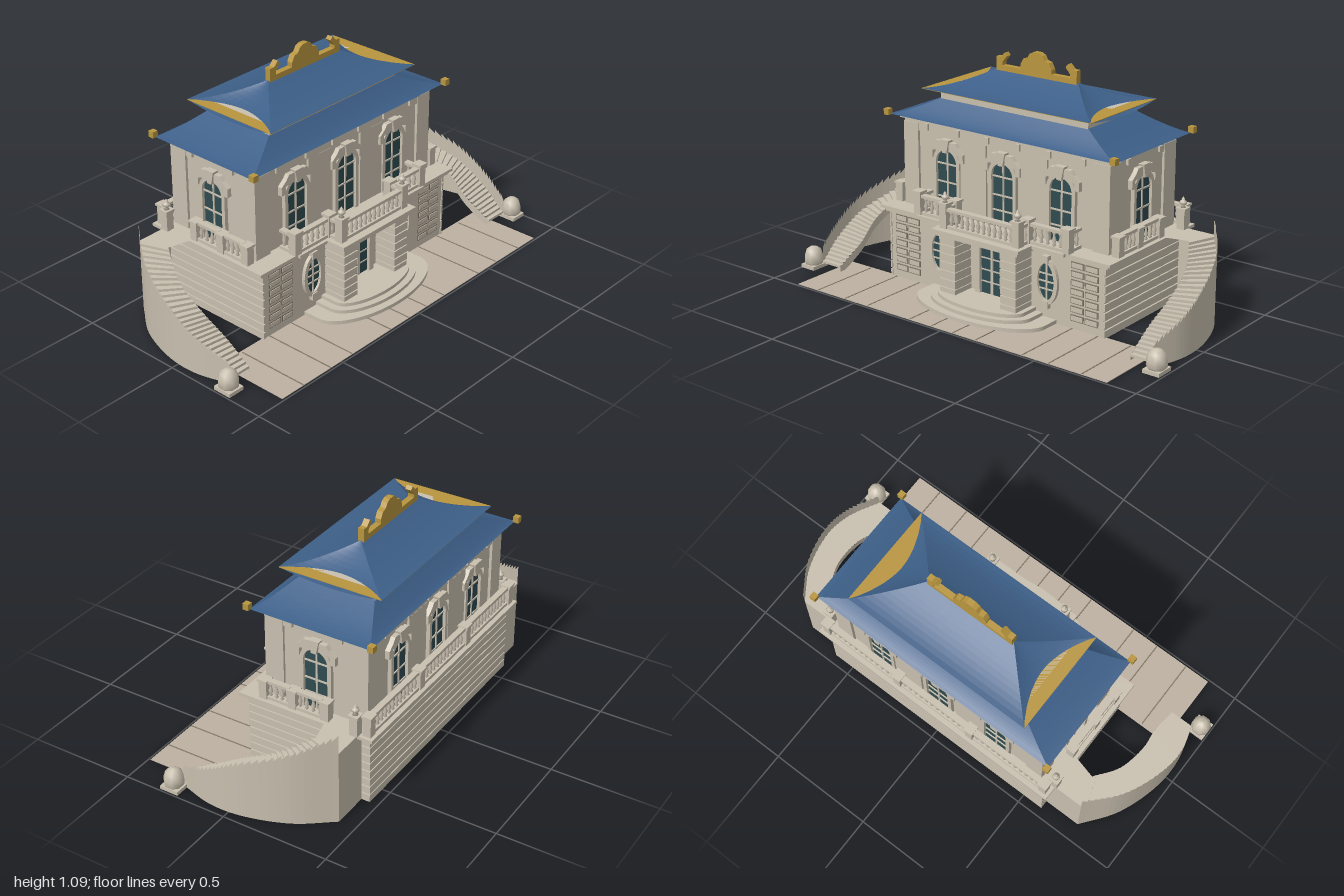
import * as THREE from 'three';

const mat = (name, color, side = THREE.FrontSide) => {
  const m = new THREE.MeshStandardMaterial({ color, side });
  m.name = name;
  return m;
};
const stone = mat('stone', 0xc8bfae);
const stoneThin = mat('stone thin', 0xc8bfae, THREE.DoubleSide);
const paving = mat('paving', 0xbcb0a0);
const joint = mat('joint', 0x84796a);
const slate = mat('slate', 0x3d5f88, THREE.DoubleSide);
const gold = mat('gold', 0xb8953f);
const glass = mat('glass', 0x2f4a50, THREE.DoubleSide);

const CZ = -0.178; // middle of the upper storey in z

function add(parent, name, geo, material, x = 0, y = 0, z = 0) {
  const m = new THREE.Mesh(geo, material);
  m.name = name;
  m.position.set(x, y, z);
  parent.add(m);
  return m;
}
// Box given by its limits
const box = (p, name, material, x0, x1, y0, y1, z0, z1) =>
  add(p, name, new THREE.BoxGeometry(x1 - x0, y1 - y0, z1 - z0), material,
    (x0 + x1) / 2, (y0 + y1) / 2, (z0 + z1) / 2);

const extrude = (shape, depth) =>
  new THREE.ExtrudeGeometry(shape, { depth, bevelEnabled: false, curveSegments: 14 });
const lathe = (pts, n) => new THREE.LatheGeometry(pts.map(p => new THREE.Vector2(...p)), n);
const polygon = pts => new THREE.Shape(pts.map(p => new THREE.Vector2(...p)));

function arch(w, spring, C = THREE.Shape) {
  const s = new C();
  s.moveTo(-w, 0);
  s.lineTo(w, 0);
  s.lineTo(w, spring);
  s.absarc(0, spring, w, 0, Math.PI, false);
  s.lineTo(-w, 0);
  return s;
}
function ellipse(rx, ry, C = THREE.Shape) {
  const s = new C();
  s.absellipse(0, 0, rx, ry, 0, Math.PI * 2, false, 0);
  return s;
}
// Soft-surface geometry from quads, each with four corners
function quads(list) {
  const pos = [];
  for (const [a, b, c, d] of list) pos.push(...a, ...b, ...c, ...a, ...c, ...d);
  const g = new THREE.BufferGeometry();
  g.setAttribute('position', new THREE.Float32BufferAttribute(pos, 3));
  g.computeVertexNormals();
  return g;
}

// Arched window facing +z
function archWindow(parent, x, z, turn) {
  const w = new THREE.Group();
  w.name = 'archedWindow';
  w.position.set(x, 0.345, z);
  w.rotation.y = turn;
  parent.add(w);
  add(w, 'windowGlass', extrude(arch(0.06, 0.235), 0.004), glass);
  const frame = arch(0.076, 0.235);
  frame.holes.push(arch(0.058, 0.235, THREE.Path));
  add(w, 'windowFrame', extrude(frame, 0.018), stone);
  box(w, 'mullion', stone, -0.004, 0.004, 0, 0.292, 0, 0.009);
  for (const y of [0.07, 0.14, 0.225]) box(w, 'glazingBar', stone, -0.058, 0.058, y, y + 0.007, 0, 0.009);
  for (const s of [-1, 1]) {
    const hood = polygon([[0.02, 0.305], [0.075, 0.285], [0.075, 0.25], [0.1, 0.25], [0.1, 0.29],
      [0.07, 0.315], [0.055, 0.335], [0.02, 0.335]].map(([a, b]) => [a * s, b]));
    add(w, 'hood', extrude(hood, 0.022), stone);
  }
  add(w, 'keystone', extrude(polygon([[-0.012, 0.285], [0.012, 0.285], [0.025, 0.345], [-0.025, 0.345]]), 0.03), stone);
}

const balusterGeo = lathe([[0.004, 0], [0.009, 0.006], [0.005, 0.012], [0.01, 0.028], [0.004, 0.05], [0.009, 0.06], [0.006, 0.068]], 6);
const urnGeo = lathe([[0, 0], [0.014, 0], [0.006, 0.008], [0.017, 0.02], [0.015, 0.03], [0.007, 0.034], [0.008, 0.04], [0, 0.052]], 10);

// Balustrade along a straight line
function rail(parent, x0, z0, x1, z1) {
  const g = new THREE.Group();
  g.name = 'balustrade';
  const len = Math.hypot(x1 - x0, z1 - z0), n = Math.max(1, Math.round(len / 0.031));
  g.position.set(x0, 0.345, z0);
  g.rotation.y = Math.atan2(z0 - z1, x1 - x0);
  parent.add(g);
  box(g, 'railBase', stone, 0, len, 0, 0.014, -0.013, 0.013);
  box(g, 'railTop', stone, 0, len, 0.08, 0.093, -0.014, 0.014);
  for (let i = 0; i < n; i++) add(g, 'baluster', balusterGeo, stone, (i + 0.5) * len / n, 0.013, 0);
}
function post(parent, x, z, urn, h = 0.1) {
  box(parent, 'post', stone, x - 0.019, x + 0.019, 0.345, 0.345 + h, z - 0.019, z + 0.019);
  box(parent, 'postCap', stone, x - 0.024, x + 0.024, 0.337 + h, 0.347 + h, z - 0.024, z + 0.024);
  if (urn) add(parent, 'urn', urnGeo, stone, x, 0.346 + h, z);
}

// Concave hipped roof: half sizes at top and eave; dip lowers the middle of the end eaves
function hipRoof(tx, tz, ex, ez, yTop, yEave, power, dip) {
  const N = 10, list = [];
  const pt = (side, i, j) => {
    const t = i / N, u = j / N * 2 - 1;
    const hx = tx + (ex - tx) * t, hz = tz + (ez - tz) * t;
    const end = side % 2 === 1, s = side < 2 ? 1 : -1;
    const y = yEave + (yTop - yEave) * (1 - t) ** power - (end ? dip * t ** 0.7 * (1 - u * u) : 0);
    return end ? [s * hx, y, -s * u * hz] : [s * u * hx, y, s * hz];
  };
  for (let k = 0; k < 4; k++)
    for (let i = 0; i < N; i++)
      for (let j = 0; j < N; j++)
        list.push([pt(k, i, j), pt(k, i + 1, j), pt(k, i + 1, j + 1), pt(k, i, j + 1)]);
  return quads(list);
}

// Curved outside stair on side s, with a toothed outer wall
function stair(parent, s) {
  const curve = pts => new THREE.CatmullRomCurve3(pts.map(([x, z]) => new THREE.Vector3(x * s, 0, z)));
  const outer = curve([[0.92, 0.26], [0.962, 0.1], [0.958, -0.05], [0.89, -0.26], [0.775, -0.42]]);
  const inner = curve([[0.81, 0.26], [0.805, 0.12], [0.82, 0], [0.8, -0.16], [0.735, -0.285]]);
  const N = 28, rise = 0.325 / N, steps = [], wall = [], stringer = [];
  const at = (c, i, y) => { const p = c.getPoint(i / N); return [p.x, y, p.z]; };
  for (let i = 0; i < N; i++) {
    const y0 = 0.02 + rise * i, y = y0 + rise;
    steps.push([at(inner, i, y0), at(outer, i, y0), at(outer, i, y), at(inner, i, y)],
      [at(inner, i, y), at(outer, i, y), at(outer, i + 1, y), at(inner, i + 1, y)]);
    wall.push([at(outer, i, 0), at(outer, i + 1, 0), at(outer, i + 1, y + 0.09), at(outer, i, y0 + 0.072)]);
    stringer.push([at(inner, i, Math.max(0, y0 - 0.035)), at(inner, i + 1, Math.max(0, y - 0.035)),
      at(inner, i + 1, y + 0.006), at(inner, i, y0 + 0.006)]);
  }
  // Landing that joins the terrace
  const a = at(inner, N, 0.345), b = at(outer, N, 0.345), c = [0.6 * s, 0.345, -0.42], d = [0.6 * s, 0.345, -0.25];
  steps.push([a, b, c, d]);
  wall.push([[b[0], 0, b[2]], [c[0], 0, c[2]], c, b]);
  add(parent, 'stairSteps', quads(steps), stoneThin);
  add(parent, 'stairOuterWall', quads(wall), stoneThin);
  add(parent, 'stairStringer', quads(stringer), stoneThin);
  // Domed newel at the foot
  const newel = lathe([[0, 0], [0.036, 0], [0.045, 0.012], [0.045, 0.04], [0.036, 0.07], [0.018, 0.084], [0, 0.088]], 8);
  newel.rotateY(Math.PI / 8);
  add(parent, 'newel', newel, stone, 0.954 * s, 0.017, 0.285);
  box(parent, 'newelBase', stone, 0.954 * s - 0.04, 0.954 * s + 0.04, 0.003, 0.02, 0.24, 0.33);
}

export function createModel() {
  const root = new THREE.Group();
  root.name = 'pavilion';

  // Paved forecourt with joints, and rounded steps
  box(root, 'forecourt', paving, -0.855, 0.855, 0, 0.003, 0.13, 0.49);
  for (const x of [0.06, 0.183, 0.43, 0.565, 0.73])
    for (const s of [-1, 1]) box(root, 'pavingJoint', joint, x * s - 0.003, x * s + 0.003, 0.002, 0.0045, 0.14, 0.488);
  [[0.345, 0.165], [0.27, 0.13], [0.235, 0.1]].forEach(([rx, rz], i) => {
    const g = new THREE.CylinderGeometry(1, 1, 0.017, 32, 1, false, -Math.PI / 2, Math.PI);
    g.scale(rx, 1, rz);
    add(root, 'roundStep', g, stone, 0, 0.0115 + i * 0.016, 0.22);
    box(root, 'stepBack', stone, -rx, rx, 0.003, 0.02 + i * 0.016, 0.13, 0.22);
  });

  // Hollow ground floor with banded masonry
  const ground = new THREE.Group();
  ground.name = 'groundFloor';
  root.add(ground);
  box(ground, 'frontWall', stone, -0.59, 0.59, 0, 0.33, 0.11, 0.138);
  box(ground, 'backWall', joint, -0.59, 0.59, 0, 0.33, -0.452, -0.42);
  for (const s of [-1, 1]) box(ground, 'sideWall', joint, s * 0.577 - 0.015, s * 0.577 + 0.015, 0, 0.33, -0.45, 0.135);
  for (let i = 0; i < 8; i++) {
    const y0 = i * 0.04, y1 = y0 + 0.034;
    box(ground, 'backBand', stone, -0.6, 0.6, y0, y1, -0.46, -0.45);
    for (const s of [-1, 1]) {
      box(ground, 'sideBand', stone, s * 0.595 - 0.005, s * 0.595 + 0.005, y0, y1, -0.46, 0.142);
      box(ground, 'pierBlock', stone, s * 0.168 - 0.043, s * 0.168 + 0.043, y0, y1, 0.138, 0.25);
      // Panel pairs on the front corners
      if (i > 0) for (const x of [0.455, 0.53]) {
        box(ground, 'panelBorder', joint, s * x - 0.034, s * x + 0.034, y0 - 0.002, y0 + 0.028, 0.137, 0.141);
        box(ground, 'panel', stone, s * x - 0.029, s * x + 0.029, y0 + 0.003, y0 + 0.023, 0.137, 0.144);
      }
    }
  }
  for (const s of [-1, 1]) {
    box(ground, 'pierCore', stone, s * 0.168 - 0.038, s * 0.168 + 0.038, 0, 0.33, 0.137, 0.243);
    // Oval window
    const oval = new THREE.Group();
    oval.name = 'ovalWindow';
    oval.position.set(s * 0.297, 0.187, 0.138);
    ground.add(oval);
    add(oval, 'ovalGlass', extrude(ellipse(0.044, 0.085), 0.034), glass, 0, 0, -0.03);
    const ring = ellipse(0.062, 0.104);
    ring.holes.push(ellipse(0.043, 0.084, THREE.Path));
    add(oval, 'ovalFrame', extrude(ring, 0.016), stone);
    box(oval, 'ovalMullion', stone, -0.004, 0.004, -0.084, 0.084, 0, 0.009);
    for (const y of [-0.035, 0, 0.035]) box(oval, 'ovalBar', stone, -0.042, 0.042, y - 0.003, y + 0.003, 0, 0.009);
    for (const t of [-1, 1]) box(oval, 'ovalKey', stone, -0.016, 0.016, t * 0.103 - 0.017, t * 0.103 + 0.017, 0, 0.022);
  }
  // Door
  box(ground, 'doorGlass', glass, -0.06, 0.06, 0.05, 0.27, 0.138, 0.145);
  for (const s of [-1, 1]) box(ground, 'doorJamb', stone, s * 0.073 - 0.014, s * 0.073 + 0.014, 0.04, 0.285, 0.138, 0.16);
  box(ground, 'doorLintel', stone, -0.087, 0.087, 0.268, 0.29, 0.138, 0.165);
  box(ground, 'doorMullion', stone, -0.006, 0.006, 0.05, 0.27, 0.14, 0.149);
  for (const y of [0.105, 0.16, 0.215]) box(ground, 'doorBar', stone, -0.06, 0.06, y, y + 0.006, 0.14, 0.148);

  // Terrace slab and mouldings
  box(root, 'terraceMoulding', stone, -0.615, 0.615, 0.316, 0.332, -0.473, 0.152);
  box(root, 'terraceSlab', stone, -0.635, 0.635, 0.331, 0.345, -0.49, 0.165);
  box(root, 'terraceCentre', stone, -0.41, 0.41, 0.331, 0.345, 0.16, 0.178);
  box(root, 'porchMoulding', stone, -0.225, 0.225, 0.312, 0.332, 0.14, 0.258);
  box(root, 'porchSlab', stone, -0.24, 0.24, 0.331, 0.345, 0.16, 0.272);

  // Balustrades and posts
  rail(root, -0.18, 0.222, 0.18, 0.222);
  for (const s of [-1, 1]) {
    post(root, s * 0.2, 0.222, true, 0.115);
    post(root, s * 0.2, 0.15, false, 0.108);
    post(root, s * 0.41, 0.15, false, 0.108);
    rail(root, s * 0.2, 0.15, s * 0.2, 0.222);
    rail(root, s * 0.22, 0.15, s * 0.39, 0.15);
    rail(root, s * 0.41, 0.07, s * 0.41, 0.135);
    post(root, s * 0.625, -0.405, true, 0.095);
    for (const z of [0.055, -0.09, -0.25]) post(root, s * 0.6, z, false, 0.09);
    rail(root, s * 0.6, 0.04, s * 0.6, -0.075);
    rail(root, s * 0.6, -0.105, s * 0.6, -0.235);
    for (const x of [0.6, 0.2]) post(root, s * x, -0.455, false, 0.095);
    rail(root, s * 0.22, -0.455, s * 0.58, -0.455);
    stair(root, s);
  }
  rail(root, -0.18, -0.455, 0.18, -0.455);

  // Upper storey with pilasters, frieze and cornice
  const upper = new THREE.Group();
  upper.name = 'upperStorey';
  root.add(upper);
  box(upper, 'upperWalls', stone, -0.553, 0.553, 0.34, 0.76, CZ - 0.237, CZ + 0.237);
  box(upper, 'frieze', stone, -0.562, 0.562, 0.7, 0.752, CZ - 0.246, CZ + 0.246);
  box(upper, 'cornice', stone, -0.577, 0.577, 0.75, 0.764, CZ - 0.261, CZ + 0.261);
  for (const s of [-1, 1]) for (const t of [-1, 1]) {
    const px = s * 0.523, pz = CZ + t * 0.205;
    box(upper, 'cornerPilaster', stone, px - 0.042, px + 0.042, 0.345, 0.735, pz - 0.045, pz + 0.045);
    box(upper, 'innerPilaster', stone, s * 0.167 - 0.072, s * 0.167 + 0.072, 0.345, 0.7, CZ + t * 0.24 - 0.007, CZ + t * 0.24 + 0.007);
    for (const x of [0.43, 0.25, 0.085]) box(upper, 'bracket', stone, s * x - 0.011, s * x + 0.011, 0.712, 0.742, CZ + t * 0.245 - 0.012, CZ + t * 0.245 + 0.012);
    box(upper, 'bracket', stone, s * 0.562 - 0.012, s * 0.562 + 0.012, 0.712, 0.738, CZ + t * 0.12 - 0.011, CZ + t * 0.12 + 0.011);
  }
  for (const x of [-0.315, 0, 0.315]) {
    archWindow(upper, x, CZ + 0.237, 0);
    archWindow(upper, x, CZ - 0.237, Math.PI);
  }
  for (const s of [-1, 1]) archWindow(upper, s * 0.553, CZ, s * Math.PI / 2);

  // Two-tier roof
  const roof = new THREE.Group();
  roof.name = 'roof';
  roof.position.z = CZ;
  root.add(roof);
  add(roof, 'lowerRoof', hipRoof(0.4, 0.178, 0.615, 0.288, 0.852, 0.765, 1.3, 0), slate);
  box(roof, 'roofDrum', stone, -0.402, 0.402, 0.84, 0.9, -0.181, 0.181);
  box(roof, 'goldEavePlate', gold, -0.46, 0.46, 0.897, 0.9, -0.244, 0.244);
  add(roof, 'upperRoof', hipRoof(0.22, 0.002, 0.46, 0.246, 0.982, 0.9, 1.7, 0.022), slate);
  for (const s of [-1, 1]) for (const t of [-1, 1])
    box(roof, 'eaveCorner', gold, s * 0.616 - 0.014, s * 0.616 + 0.014, 0.764, 0.792, t * 0.297 - 0.014, t * 0.297 + 0.014);

  // Ridge crest
  const half = [[0.015, 1.085], [0.035, 1.075], [0.047, 1.055], [0.07, 1.048], [0.085, 1.02], [0.085, 1],
    [0.185, 1], [0.185, 1.015], [0.16, 1.045], [0.172, 1.06], [0.195, 1.037], [0.22, 1.037], [0.22, 0.975]];
  const crest = polygon([...half, ...half.map(([x, y]) => [-x, y]).reverse()]);
  add(roof, 'ridgeCrest', extrude(crest, 0.028), gold, 0, 0, -0.014);
  return root;
}
